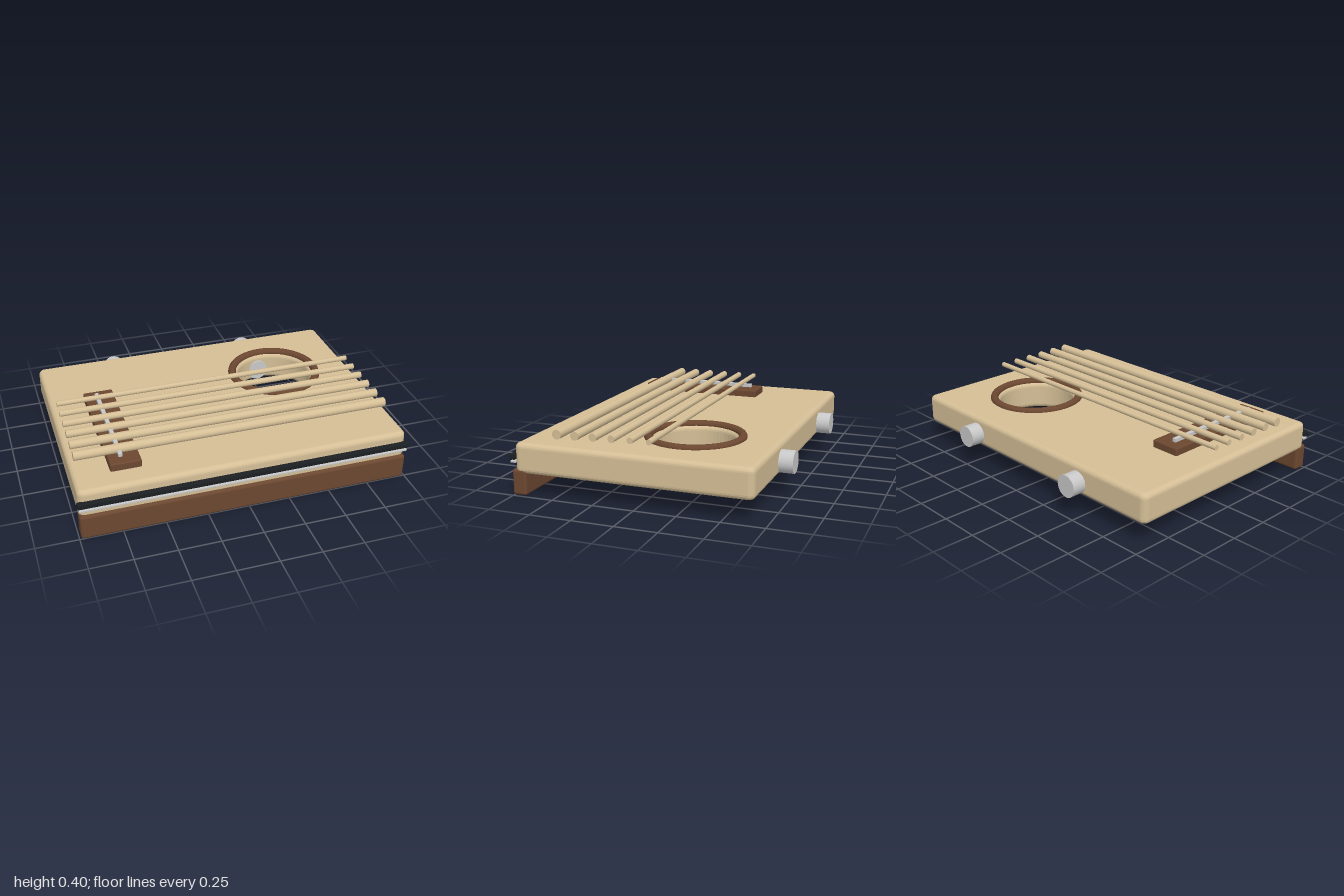
import * as THREE from 'three';
import { RoundedBoxGeometry } from 'three/addons/geometries/RoundedBoxGeometry.js';

const material = (name, color) => {
  const m = new THREE.MeshStandardMaterial({ color });
  m.name = name;
  return m;
};

export function createModel() {
  const group = new THREE.Group();
  const maple = material('pale maple', 0xd4be96);
  const walnut = material('dark walnut', 0x6b4730);
  const black = material('black rubber', 0x1c1f22);
  const silver = material('silver metal', 0xc8c8c8);

  const add = (name, geometry, mat, x = 0, y = 0, z = 0) => {
    const mesh = new THREE.Mesh(geometry, mat);
    mesh.name = name;
    mesh.position.set(x, y, z);
    group.add(mesh);
    return mesh;
  };
  // Rounded block given by its minimum and maximum corners
  const block = (name, mat, [x0, y0, z0], [x1, y1, z1], radius) =>
    add(name, new RoundedBoxGeometry(x1 - x0, y1 - y0, z1 - z0, 4, radius), mat,
      (x0 + x1) / 2, (y0 + y1) / 2, (z0 + z1) / 2);

  // Body: rounded slab with a round hole through it
  const hole = { x: 0.49, z: -0.175, r: 0.237 };
  const w = 0.99, back = 0.68, front = -0.74, c = 0.04, bevel = 0.03;
  const outline = new THREE.Shape();
  outline.moveTo(-w + c, front);
  outline.absarc(w - c, front + c, c, -Math.PI / 2, 0);
  outline.absarc(w - c, back - c, c, 0, Math.PI / 2);
  outline.absarc(-w + c, back - c, c, Math.PI / 2, Math.PI);
  outline.absarc(-w + c, front + c, c, Math.PI, Math.PI * 1.5);
  outline.holes.push(new THREE.Path().absarc(hole.x, -hole.z, hole.r, 0, Math.PI * 2, true));
  const slab = new THREE.ExtrudeGeometry(outline, {
    depth: 0.18 - 2 * bevel, bevelSize: bevel, bevelThickness: bevel,
    bevelOffset: -bevel, bevelSegments: 5, curveSegments: 32,
  });
  slab.rotateX(-Math.PI / 2);
  add('body', slab, maple, 0, 0.13 + bevel, 0);

  // Ring around the hole
  const ring = new THREE.TorusGeometry(0.275, 0.025, 16, 72).rotateX(Math.PI / 2);
  add('soundHoleRing', ring, walnut, hole.x, 0.31, hole.z);

  // Front edge: wooden rail, metal strip and rubber strip
  block('frontRail', walnut, [-0.99, 0, 0.67], [0.99, 0.155, 0.758], 0.018);
  block('metalStrip', silver, [-0.99, 0.192, 0.73], [0.99, 0.204, 0.763], 0.002);
  block('rubberStrip', black, [-1, 0.21, 0.728], [1, 0.248, 0.765], 0.012);

  // Bridge and saddle
  block('bridge', walnut, [-0.775, 0.3, -0.205], [-0.592, 0.356, 0.6], 0.01);
  block('saddle', silver, [-0.713, 0.34, -0.145], [-0.689, 0.378, 0.538], 0.002);

  // Six strings, thickest at the front
  for (let i = 0; i < 6; i++) {
    const radius = 0.028 - i * 0.0024;
    const string = new THREE.CylinderGeometry(radius, radius, 1.92, 20).rotateZ(Math.PI / 2);
    add(`string${i + 1}`, string, maple, 0, 0.375 + i * 0.002, 0.477 - i * 0.1115);
  }

  // Knobs at the back, with shafts reaching into the body
  for (const [name, x] of [['rightKnob', -0.468], ['leftKnob', 0.462]]) {
    const knob = new THREE.CylinderGeometry(0.067, 0.067, 0.37, 32).rotateX(Math.PI / 2);
    add(name, knob, silver, x, 0.205, -0.58);
  }
  return group;
}
